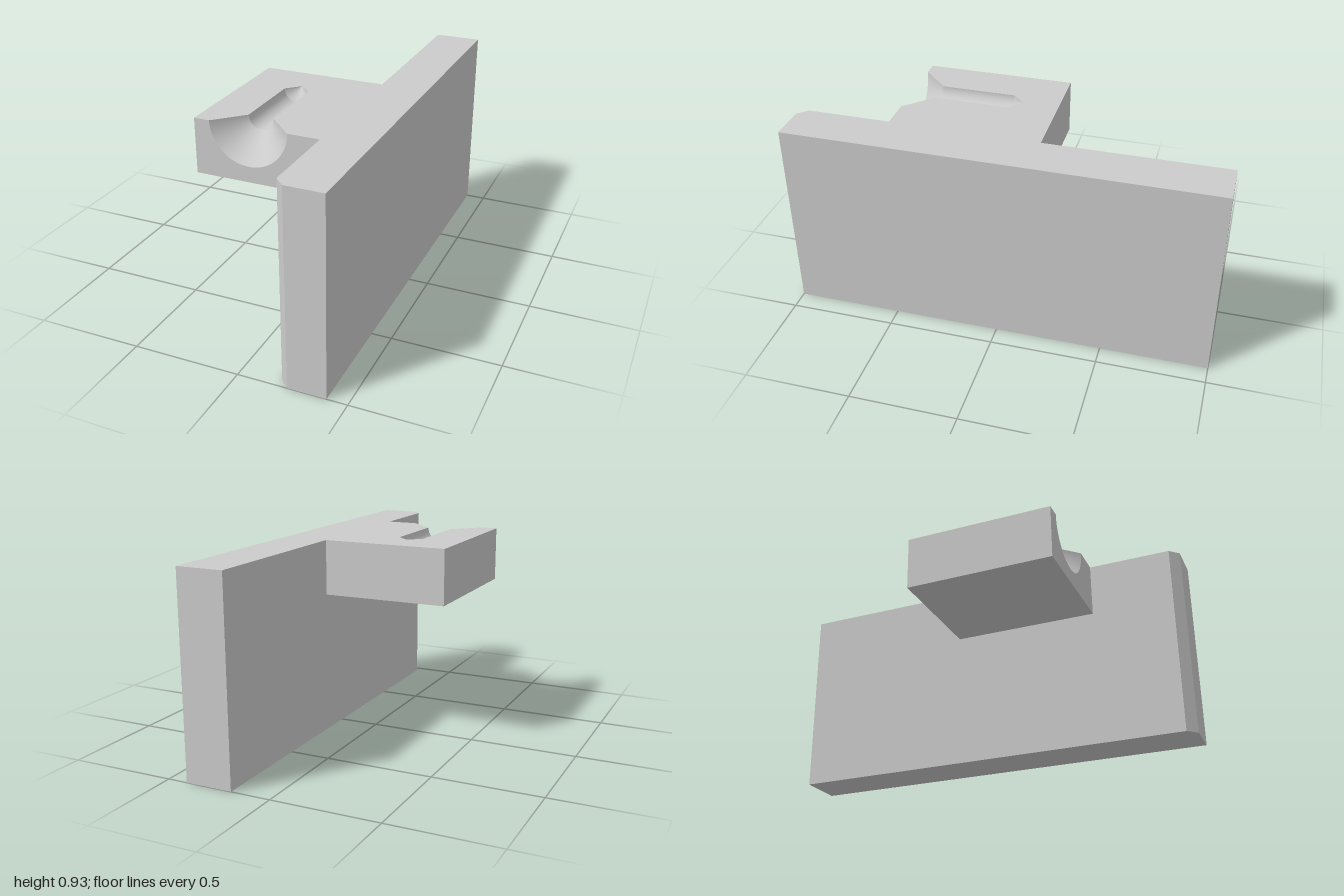
import * as THREE from 'three';
import { mergeGeometries } from 'three/addons/utils/BufferGeometryUtils.js';

const TOP = 0.927;
// block extents
const LEFT = -0.407, RIGHT = 0.186, BOTTOM = 0.668, BACK = -0.15, FRONT = 0.56;
// countersunk hole: axis position and [radius, z] profile from mouth to tip
const HOLE_X = -0.148;
const PROFILE = [[0.185, FRONT], [0.06, 0.435], [0.06, 0.08], [0, 0.022]];

const shapeOf = (points) => new THREE.Shape(points.map(([x, y]) => new THREE.Vector2(x, y)));

// Upright plate with one chamfered vertical edge
function plateGeometry() {
  const outline = shapeOf([[RIGHT, -0.955], [0.23, -1], [0.407, -1], [0.407, 1], [RIGHT, 1]]);
  return new THREE.ExtrudeGeometry(outline, { depth: TOP, bevelEnabled: false }).rotateX(-Math.PI / 2);
}

// Side block, open where it joins the plate, cut through the hole's axis
function blockGeometry() {
  const w = RIGHT - LEFT, h = TOP - BOTTOM, d = FRONT - BACK;
  const cx = (LEFT + RIGHT) / 2, cy = (TOP + BOTTOM) / 2, cz = (FRONT + BACK) / 2;

  // top face notched by the hole's lengthwise section
  const section = [
    ...PROFILE.map(([r, z]) => [HOLE_X - r, -z]),
    ...PROFILE.slice(0, -1).reverse().map(([r, z]) => [HOLE_X + r, -z]),
  ];
  const top = shapeOf([[LEFT, -FRONT], ...section, [RIGHT, -FRONT], [RIGHT, -BACK], [LEFT, -BACK]]);

  // front face notched by the half-round mouth
  const mouth = PROFILE[0][0];
  const front = shapeOf([[LEFT, TOP], [LEFT, BOTTOM], [RIGHT, BOTTOM], [RIGHT, TOP], [HOLE_X + mouth, TOP]]);
  front.absarc(HOLE_X, TOP, mouth, 0, -Math.PI, true);

  return mergeGeometries([
    new THREE.ShapeGeometry(top).rotateX(-Math.PI / 2).translate(0, TOP, 0),
    new THREE.ShapeGeometry(front, 24).translate(0, 0, FRONT),
    new THREE.PlaneGeometry(w, h).rotateY(Math.PI).translate(cx, cy, BACK),
    new THREE.PlaneGeometry(d, h).rotateY(-Math.PI / 2).translate(LEFT, cy, cz),
    new THREE.PlaneGeometry(w, d).rotateX(Math.PI / 2).translate(cx, BOTTOM, cz),
  ]);
}

// Half-round inside of the hole; separate lathes keep the creases sharp
function holeGeometry() {
  const bands = PROFILE.slice(1).map((end, i) => {
    const points = [PROFILE[i], end].map(([r, z]) => new THREE.Vector2(r, z));
    return new THREE.LatheGeometry(points, 48, -Math.PI / 2, Math.PI);
  });
  return mergeGeometries(bands).rotateX(Math.PI / 2).translate(HOLE_X, TOP, 0);
}

export function createModel() {
  const group = new THREE.Group();
  group.name = 'bracket';
  const grey = new THREE.MeshStandardMaterial({ color: 0xcccccc });
  const add = (name, geometry) => {
    const mesh = new THREE.Mesh(geometry, grey);
    mesh.name = name;
    group.add(mesh);
  };
  add('plate', plateGeometry());
  add('block', blockGeometry());
  add('countersunkHole', holeGeometry());
  return group;
}
